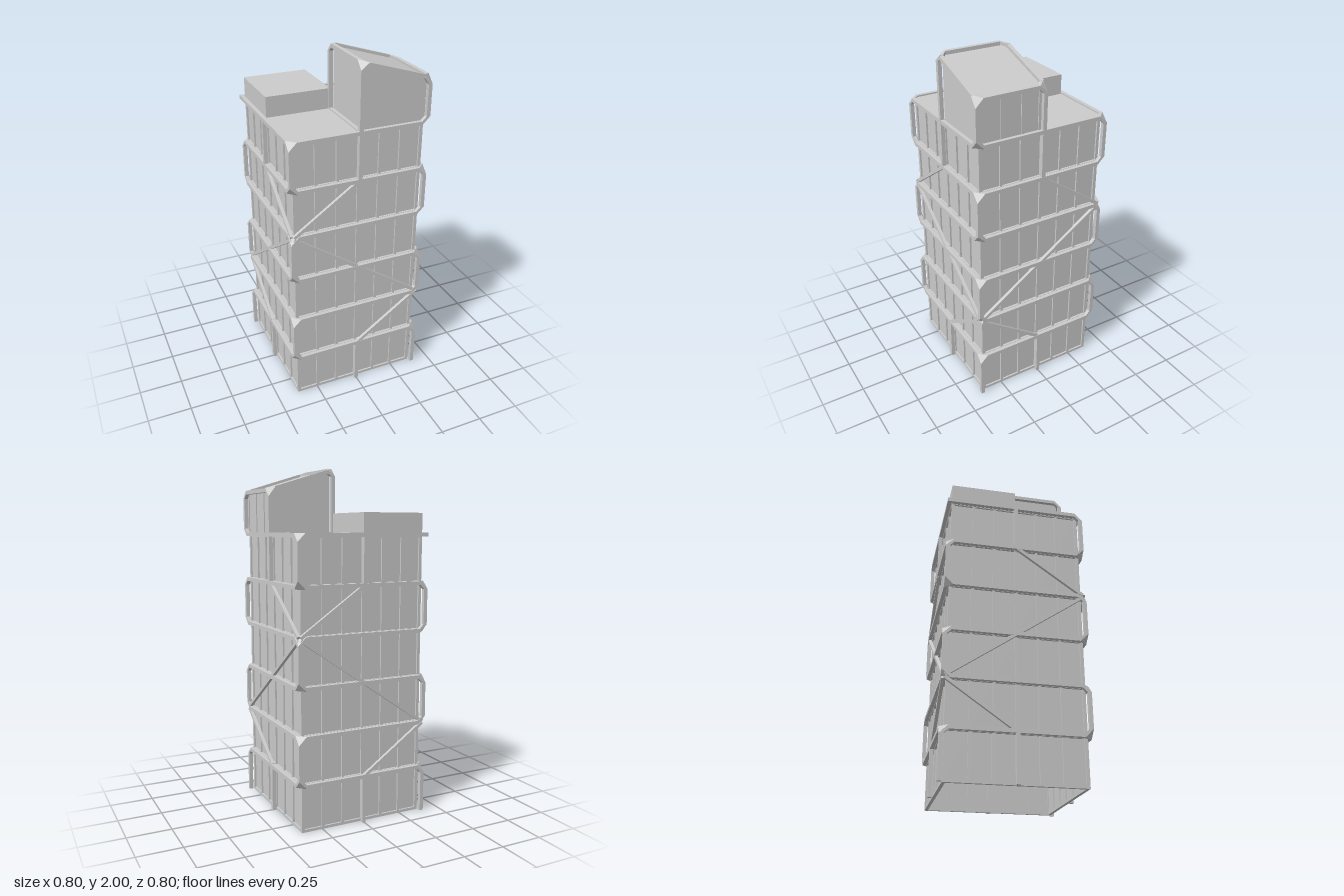
import * as THREE from 'three';
import { ConvexGeometry } from 'three/addons/geometries/ConvexGeometry.js';

const P = 0.39;       // frame centre line
const H = 0.011;      // half thickness of frame members
const C = 0.035;      // corner cut
const W = 0.375;      // half width of the core
const STOREY = 0.27, FLOORS = 6, TOP = STOREY * FLOORS;

const material = new THREE.MeshStandardMaterial({ color: 0xcccccc, flatShading: true });
const shell = new THREE.MeshStandardMaterial({ color: 0xcccccc, flatShading: true, side: THREE.DoubleSide });
const V = (x, y, z) => new THREE.Vector3(x, y, z);

function add(parent, name, geometry, mat = material) {
  const mesh = new THREE.Mesh(geometry, mat);
  mesh.name = name;
  parent.add(mesh);
  return mesh;
}

function box(parent, name, x0, x1, y0, y1, z0, z1) {
  const mesh = add(parent, name, new THREE.BoxGeometry(x1 - x0, y1 - y0, z1 - z0));
  mesh.position.set((x0 + x1) / 2, (y0 + y1) / 2, (z0 + z1) / 2);
  return mesh;
}

// Square bar between two points, trimmed at each end
function bar(parent, name, a, b, trimA = 0, trimB = 0, half = H) {
  const dir = b.clone().sub(a).normalize();
  const s = a.clone().addScaledVector(dir, trimA), e = b.clone().addScaledVector(dir, -trimB);
  const mesh = add(parent, name, new THREE.BoxGeometry(half * 2, half * 2, s.distanceTo(e)));
  mesh.position.copy(s).add(e).multiplyScalar(0.5);
  mesh.lookAt(e);
  return mesh;
}

// Cut-corner joint: hull of the end sections of the members leaving it
function joint(parent, p, dirs) {
  const pts = [];
  for (const d of dirs) {
    const end = p.clone().addScaledVector(d, C);
    const alongX = Math.abs(d.x) > 0.5, alongY = Math.abs(d.y) > 0.5;
    for (const i of [-H, H]) for (const j of [-H, H]) {
      pts.push(end.clone().add(alongX ? V(0, i, j) : alongY ? V(i, 0, j) : V(i, j, 0)));
    }
  }
  add(parent, 'cornerJoint', new ConvexGeometry(pts));
}

// One glazed side facing +z with mullions and rails
function buildFacade(angle) {
  const side = new THREE.Group();
  side.name = 'facade';
  side.rotation.y = angle;
  const glass = add(side, 'glassWall', new THREE.PlaneGeometry(2 * W - 0.02, TOP), shell);
  glass.position.set(0, TOP / 2, W - 0.01);
  for (let i = -3; i <= 3; i++) {
    const x = i * 0.1225;
    box(side, 'mullion', x - 0.0075, x + 0.0075, 0, TOP, W - 0.018, W);
  }
  box(side, 'sillRail', -W, W, 0, 0.016, W - 0.018, W);
  for (let k = 1; k <= FLOORS; k++) {
    const y = k * STOREY;
    box(side, 'floorRail', -W, W, y - 0.012, y + (k === FLOORS ? 0 : 0.012), W - 0.018, W + 0.003);
  }
  return side;
}

// Ring beams, staggered corner posts and their joints
function buildFrame() {
  const frame = new THREE.Group();
  frame.name = 'outerFrame';
  const corners = [[1, 1], [-1, 1], [-1, -1], [1, -1]];
  for (let k = 1; k <= FLOORS; k++) {
    const y = k * STOREY;
    corners.forEach(([sx, sz], i) => {
      const [nx, nz] = corners[(i + 1) % 4];
      const plain = ([x, z]) => k === FLOORS && x < 0 && z < 0;
      const trim = (c) => (plain(c) ? -H : C);
      bar(frame, 'ringBeam', V(sx * P, y, sz * P), V(nx * P, y, nz * P), trim([sx, sz]), trim([nx, nz]));

      // The same-sign corners carry odd storeys, the others even storeys
      const hasPost = (sx * sz > 0) === (k % 2 === 1);
      if (hasPost) {
        bar(frame, 'cornerPost', V(sx * P, y - STOREY, sz * P), V(sx * P, y, sz * P), k === 1 ? 0 : C, C);
      }
      if (!plain([sx, sz])) {
        joint(frame, V(sx * P, y, sz * P), [V(-sx, 0, 0), V(0, 0, -sz), V(0, hasPost ? -1 : 1, 0)]);
      }
    });
  }
  // Mid-side posts in the lowest and highest storeys
  for (const [x, z] of [[0, P], [0, -P], [P, 0], [-P, 0]]) {
    for (const k of [0, FLOORS - 1]) {
      bar(frame, 'middlePost', V(x, k * STOREY, z), V(x, (k + 1) * STOREY, z));
    }
  }
  // Zigzag braces: low node on same-sign corners, high node on the others
  for (const s of [1, -1]) {
    const zigzag = [[0, 1], [s * P, 2], [-s * P, 4], [0, 5]];
    for (let i = 0; i < 3; i++) {
      const [a, ka] = zigzag[i], [b, kb] = zigzag[i + 1];
      bar(frame, 'brace', V(a, ka * STOREY, s * P), V(b, kb * STOREY, s * P), 0.01, 0.01, 0.009);
      bar(frame, 'brace', V(s * P, ka * STOREY, a), V(s * P, kb * STOREY, b), 0.01, 0.01, 0.009);
    }
  }
  return frame;
}

// Sloped-roof room on the front left quarter
function buildPenthouse() {
  const room = new THREE.Group();
  room.name = 'penthouse';
  const HIGH = 1.985, LOW = 1.865;
  const roofY = (x) => HIGH + (LOW - HIGH) * x / P;

  const profile = new THREE.Shape();
  profile.moveTo(0.013, TOP);
  profile.lineTo(W, TOP);
  profile.lineTo(W, roofY(W) - 0.004);
  profile.lineTo(0.013, roofY(0.013) - 0.004);
  const walls = add(room, 'penthouseWalls', new THREE.ExtrudeGeometry(profile, { depth: W - 0.013, bevelEnabled: false }));
  walls.position.z = 0.013;

  // Mullions on the low side
  for (const z of [0.02, 0.1225, 0.245, 0.3675]) {
    box(room, 'penthouseMullion', W - 0.005, W + 0.006, TOP, LOW - 0.01, z - 0.0075, z + 0.0075);
  }

  const slope = V(P, LOW - HIGH, 0).normalize();
  for (const x of [0, P]) {
    const y = roofY(x);
    bar(room, 'eaveBeam', V(x, y, 0), V(x, y, P), C, C);
    for (const z of [0, P]) {
      bar(room, 'penthousePost', V(x, TOP, z), V(x, y, z), x && z ? C : 0, C);
      const along = slope.clone().multiplyScalar(x ? -1 : 1);
      joint(room, V(x, y, z), [along, V(0, -1, 0), V(0, 0, z ? -1 : 1)]);
    }
  }
  for (const z of [0, P]) bar(room, 'slopedBeam', V(0, HIGH, z), V(P, LOW, z), C, C);
  bar(room, 'baseBeam', V(0, TOP, 0), V(P, TOP, 0));
  bar(room, 'baseBeam', V(0, TOP, 0), V(0, TOP, P));
  return room;
}

export function createModel() {
  const tower = new THREE.Group();
  tower.name = 'tower';

  for (let i = 0; i < 4; i++) tower.add(buildFacade(i * Math.PI / 2));
  box(tower, 'roofSlab', -W, W, TOP - 0.015, TOP + 0.004, -W, W);
  box(tower, 'firstFloorSlab', -W + 0.01, W - 0.01, STOREY - 0.01, STOREY + 0.01, -W + 0.01, W - 0.01);
  box(tower, 'roofPlantRoom', -W, 0, TOP, 1.74, -W, 0);
  tower.add(buildFrame(), buildPenthouse());

  return tower;
}
